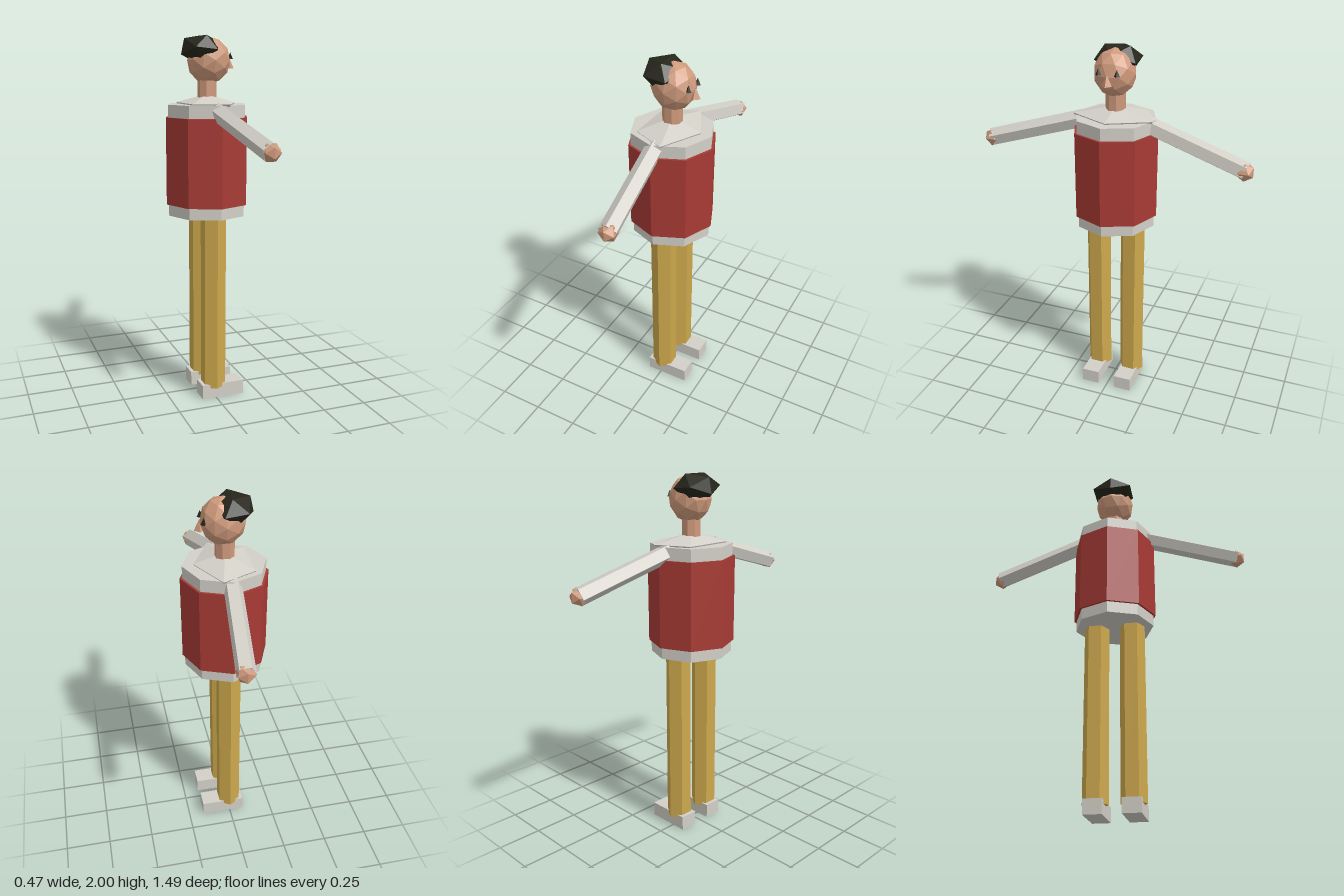
import * as THREE from 'three';

const material = (name, color) => {
  const m = new THREE.MeshStandardMaterial({ color, flatShading: true });
  m.name = name;
  return m;
};

export function createModel() {
  const model = new THREE.Group();
  model.name = 'figure';
  const cream = material('cream cloth', 0xd3d0c8);
  const red = material('red vest', 0xa83b35);
  const mustard = material('mustard trousers', 0xcda84c);
  const skin = material('skin', 0xcf9a7c);
  const black = material('black hair', 0x26261c);

  const add = (name, geometry, mat, x, y, z) => {
    const mesh = new THREE.Mesh(geometry, mat);
    mesh.name = name;
    mesh.position.set(x, y, z);
    model.add(mesh);
    return mesh;
  };

  // Torso: long shirt with a slightly wider vest around it
  add('shirt', new THREE.CylinderGeometry(0.22, 0.22, 0.6, 8), cream, 0, 1.34, 0);
  add('vest', new THREE.CylinderGeometry(0.233, 0.233, 0.47, 8), red, 0, 1.338, 0);

  // Five-sided shoulder yoke, pointing forward along +x
  const yoke = new THREE.CylinderGeometry(0.008, 0.162, 0.045, 5, 1, false, Math.PI / 2);
  add('shoulderYoke', yoke, cream, 0, 1.669, 0).scale.z = 1.43;
  const rim = new THREE.CylinderGeometry(0.162, 0.155, 0.012, 5, 1, false, Math.PI / 2);
  add('yokeRim', rim, cream, 0, 1.641, 0).scale.z = 1.43;

  // Neck and head
  add('neck', new THREE.CylinderGeometry(0.052, 0.052, 0.12, 8, 1, false, Math.PI / 8), skin, 0, 1.71, 0);
  add('head', new THREE.IcosahedronGeometry(1, 1), skin, 0.008, 1.87, 0).scale.set(0.118, 0.125, 0.11);

  // Hair: one squashed faceted lump on the back of the head
  const hair = new THREE.IcosahedronGeometry(1, 0).rotateZ(Math.PI / 2 - 0.15);
  add('hair', hair, black, -0.04, 1.932, 0).scale.set(0.115, 0.08, 0.131);

  // Nose
  add('nose', new THREE.ConeGeometry(0.028, 0.058, 4), skin, 0.126, 1.857, 0);

  for (const side of [1, -1]) {
    const label = side > 0 ? 'front' : 'back';
    add(label + 'Eye', new THREE.ConeGeometry(0.016, 0.035, 4), black, 0.113, 1.894, side * 0.049);

    // Leg and block shoe
    add(label + 'Leg', new THREE.CylinderGeometry(0.07, 0.07, 0.98, 6), mustard, 0, 0.55, side * 0.1);
    add(label + 'Shoe', new THREE.BoxGeometry(0.245, 0.08, 0.1), cream, 0.042, 0.04, side * 0.1);

    // Arm: five-sided prism from shoulder to wrist
    const start = new THREE.Vector3(-0.003, 1.608, side * 0.17);
    const end = new THREE.Vector3(0.055, 1.452, side * 0.708);
    const dir = end.clone().sub(start);
    const length = dir.length();
    dir.normalize();
    const across = dir.clone().cross(new THREE.Vector3(0, 1, 0)).normalize();
    const up = across.clone().cross(dir);
    const twist = side > 0 ? 0 : -0.49;
    const arm = add(label + 'Arm', new THREE.CylinderGeometry(0.049, 0.049, length, 5, 1, false, twist), cream,
      ...start.clone().lerp(end, 0.5).toArray());
    arm.quaternion.setFromRotationMatrix(new THREE.Matrix4().makeBasis(across, dir, up));

    // Faceted hand
    const hand = new THREE.IcosahedronGeometry(0.05, 0);
    add(label + 'Hand', hand, skin, 0.056, 1.452, side * 0.702);
  }

  return model;
}
